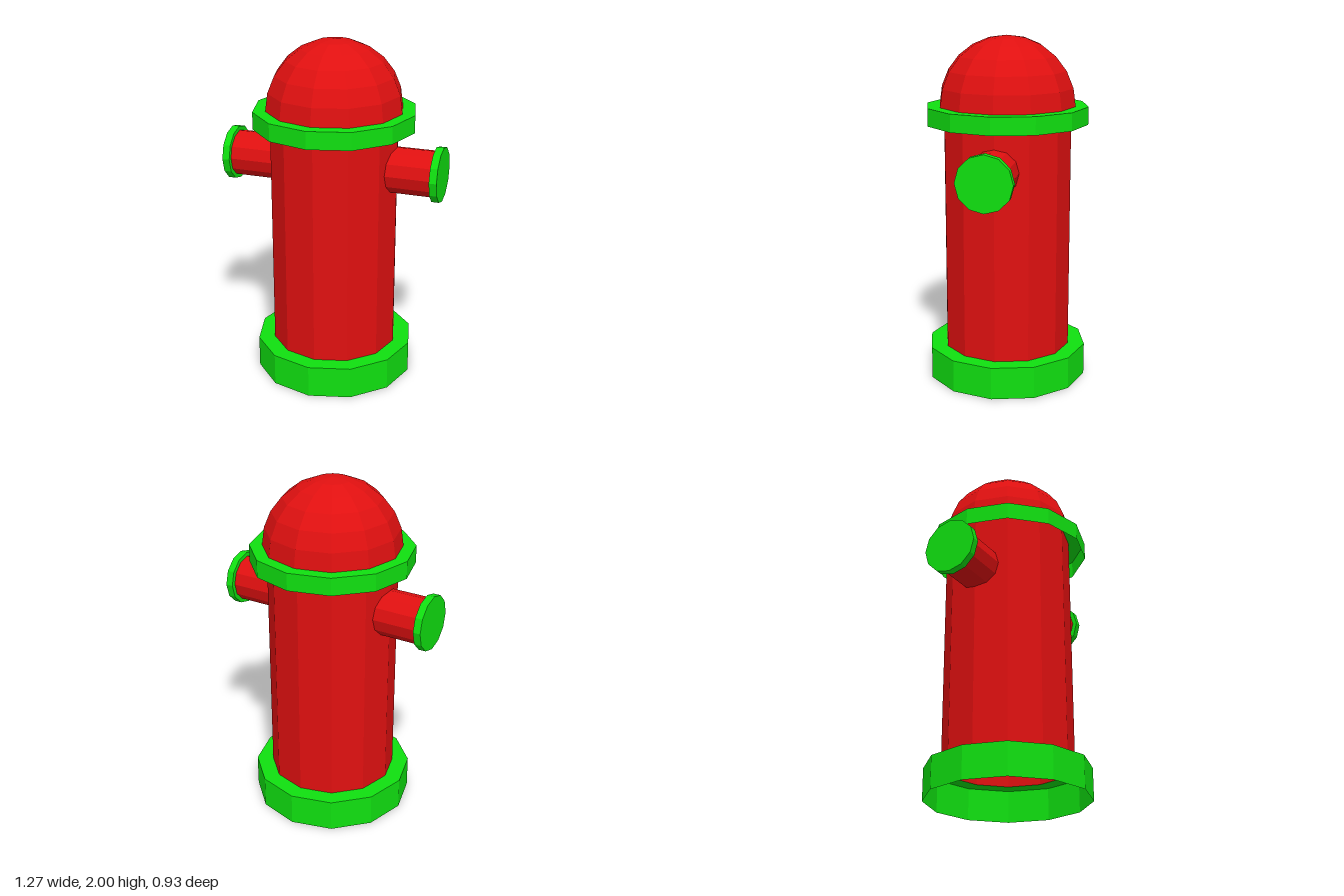
import * as THREE from 'three';

const SIDES = 12;

export function createModel() {
  const model = new THREE.Group();
  model.name = 'fireHydrant';

  const paint = (color) => new THREE.MeshStandardMaterial({
    color, flatShading: true, side: THREE.DoubleSide,
  });
  const red = paint(0xe01010);
  const green = paint(0x10e010);

  function add(name, geometry, material, parent = model) {
    const mesh = new THREE.Mesh(geometry, material);
    mesh.name = name;
    parent.add(mesh);
    return mesh;
  }
  const lathe = (points) => new THREE.LatheGeometry(
    points.map(([r, y]) => new THREE.Vector2(r, y)), SIDES);

  const bodyRadius = 0.37, rimRadius = 0.467;
  const baseTop = 0.187, collarBottom = 1.505, collarTop = 1.606;

  // Open barrel, with hollow rims that have a wall and a top ring only
  add('body', lathe([[bodyRadius, baseTop], [bodyRadius, collarTop]]), red);
  add('baseRim', lathe([[rimRadius, 0], [rimRadius, baseTop], [bodyRadius, baseTop]]), green);
  add('collar', lathe([[rimRadius, collarBottom], [rimRadius, collarTop], [bodyRadius, collarTop]]), green);

  // Domed top
  const dome = add('dome',
    new THREE.SphereGeometry(0.394, SIDES, 6, 0, Math.PI * 2, 0, Math.PI / 2), red);
  dome.position.y = collarTop;

  // Side outlets, each a pipe with a wider end cap
  for (const [side, sign] of [['left', 1], ['right', -1]]) {
    const outlet = new THREE.Group();
    outlet.name = side + 'Outlet';
    outlet.position.y = 1.28;
    outlet.rotation.z = -sign * Math.PI / 2;
    model.add(outlet);

    const pipe = add(side + 'Pipe',
      new THREE.CylinderGeometry(0.133, 0.133, 0.265, SIDES, 1, true), red, outlet);
    pipe.position.y = 0.4625;
    const cap = add(side + 'Cap',
      new THREE.CylinderGeometry(0.158, 0.158, 0.043, SIDES), green, outlet);
    cap.position.y = 0.6145;
  }

  return model;
}
